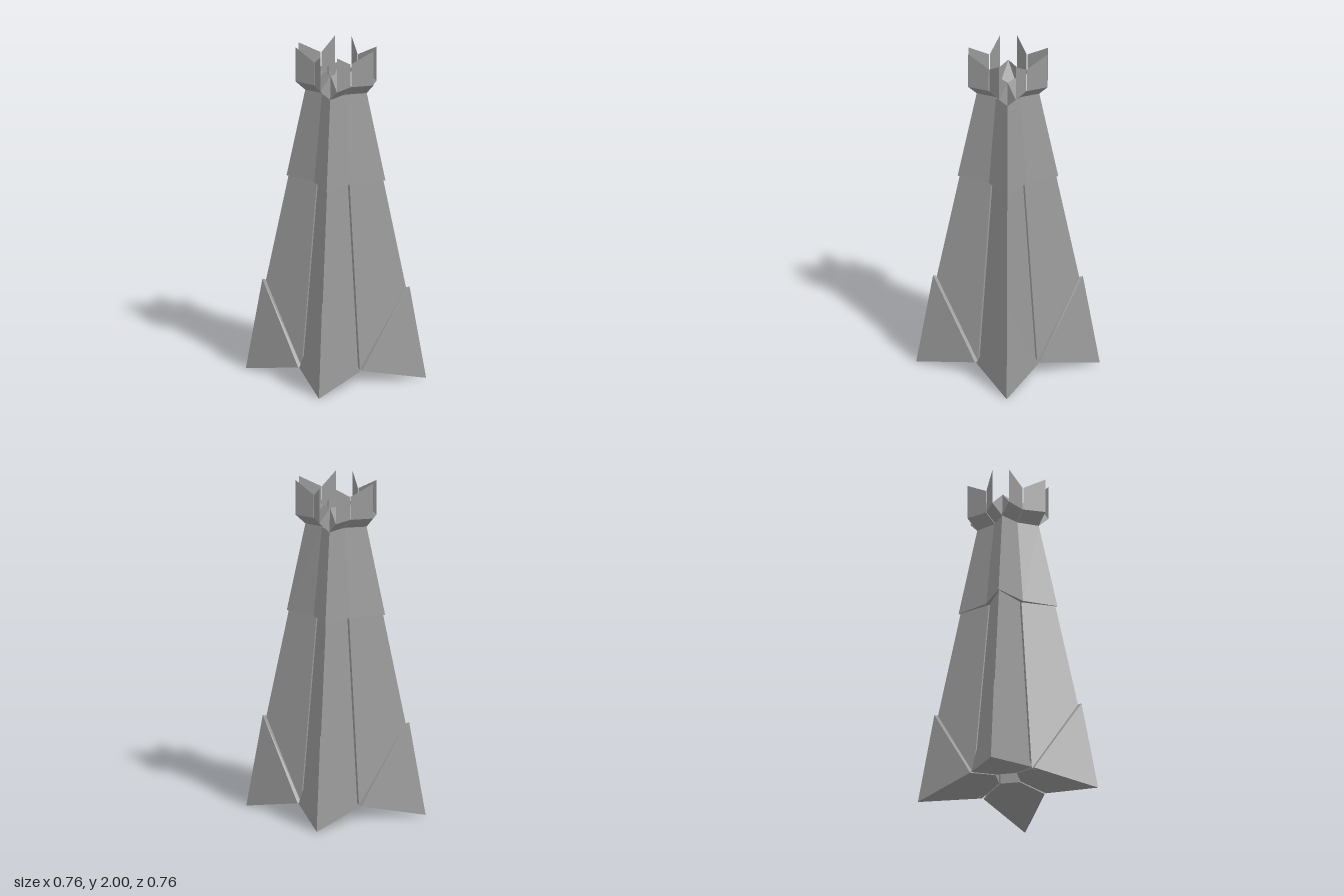
import * as THREE from 'three';

const material = new THREE.MeshStandardMaterial({
  color: 0x999999, flatShading: true, side: THREE.DoubleSide,
});

// Builds one flat-shaded mesh from a list of convex polygons
function facetMesh(name, faces) {
  const pos = [];
  for (const f of faces) {
    for (let i = 1; i < f.length - 1; i++) pos.push(...f[0], ...f[i], ...f[i + 1]);
  }
  const geo = new THREE.BufferGeometry();
  geo.setAttribute('position', new THREE.Float32BufferAttribute(pos, 3));
  geo.computeVertexNormals();
  const mesh = new THREE.Mesh(geo, material);
  mesh.name = name;
  return mesh;
}

// Reflection across the diagonal of a quarter (x <-> z)
const flip = ([x, y, z]) => [z, y, x];
const withMirror = (faces) => [...faces, ...faces.map((f) => f.map(flip).reverse())];

// Side quads between successive closed rings, bottom to top
function loft(rings) {
  const faces = [];
  for (let r = 0; r < rings.length - 1; r++) {
    const a = rings[r], b = rings[r + 1], n = a.length;
    for (let i = 0; i < n; i++) {
      const j = (i + 1) % n;
      faces.push([a[i], a[j], b[j], b[i]]);
    }
  }
  return faces;
}

const GAP = 0.006;        // half the slit between lower quarters
const CROWN_GAP = 0.003;  // half the slit between crown quarters
const INNER = 0.085;      // reach of the central shaft
const NECK_Y = 1.727;

// Tall buttress: one pointed quarter of the tower, running up inside the collar
function buttress() {
  const ring = (corner, valley, yCorner, yValley, yInner) => [
    [GAP, yValley, valley], [corner, yCorner, corner], [valley, yValley, GAP],
    [INNER, yInner, GAP], [GAP, yInner, INNER],
  ];
  return facetMesh('buttress', loft([
    ring(0.375, 0.24, 0.01, 0.08, 0.108),
    ring(0.2, 0.132, 1.2, 1.2, 1.2),
    ring(0.121, 0.088, NECK_Y, NECK_Y, NECK_Y),
  ]));
}

// Pointed foot plate wrapped around the bottom of a buttress
function foot() {
  const tip = [0.381, 0, 0.381];
  const peak = [0.311, 0.555, 0.311], peakIn = [0.297, 0.55, 0.297];
  const low = [GAP, 0.077, 0.265], lowIn = [GAP, 0.08, 0.241];
  const shaft = [GAP, 0.107, INNER];
  return facetMesh('foot', [
    ...withMirror([[low, tip, peak], [low, peak, peakIn, lowIn]]),
    [tip, low, shaft, flip(shaft), flip(low)],
  ]);
}

// Crown quarter: flared bracket, sloping floor and upright blades
function crown() {
  const neck = [0.13, NECK_Y, 0.13], neckMid = [CROWN_GAP, NECK_Y, INNER];
  const rim = [0.13, 1.79, 0.2], rimMid = [CROWN_GAP, 1.79, 0.155];
  const top = [0.13, 2, 0.2], topMid = [CROWN_GAP, 1.93, 0.155];
  const peak = [0.117, 1.87, 0.117], inner = [CROWN_GAP, 1.862, INNER];
  const group = new THREE.Group();
  group.name = 'crownQuarter';
  group.add(
    facetMesh('crownBracket', [
      ...withMirror([
        [neckMid, neck, rim, rimMid],
        [rimMid, rim, peak, inner],
        [neck, peak, rim],
        [neckMid, rimMid, inner],
        [peak, neckMid, inner],
      ]),
      [peak, flip(neckMid), neckMid],
    ]),
    facetMesh('crownBlades', withMirror([[rimMid, rim, top, topMid]])),
  );
  return group;
}

// Upper collar: hollow four-pointed star tapering to the neck
function collar() {
  const star = (corner, valley, y) => Array.from({ length: 8 }, (_, i) => {
    const r = i % 2 ? corner * Math.SQRT2 : valley;
    const t = (i * Math.PI) / 4;
    return [Math.sin(t) * r, y, Math.cos(t) * r];
  });
  return facetMesh('collar', loft([
    star(0.16, 0.105, 1.2),
    star(0.209, 0.156, 1.197),
    star(0.13, 0.099, NECK_Y),
  ]));
}

export function createModel() {
  const model = new THREE.Group();
  model.name = 'tower';
  for (let i = 0; i < 4; i++) {
    const quarter = new THREE.Group();
    quarter.name = 'quarter';
    quarter.add(buttress(), foot(), crown());
    quarter.rotation.y = (i * Math.PI) / 2;
    model.add(quarter);
  }
  model.add(collar());
  return model;
}
